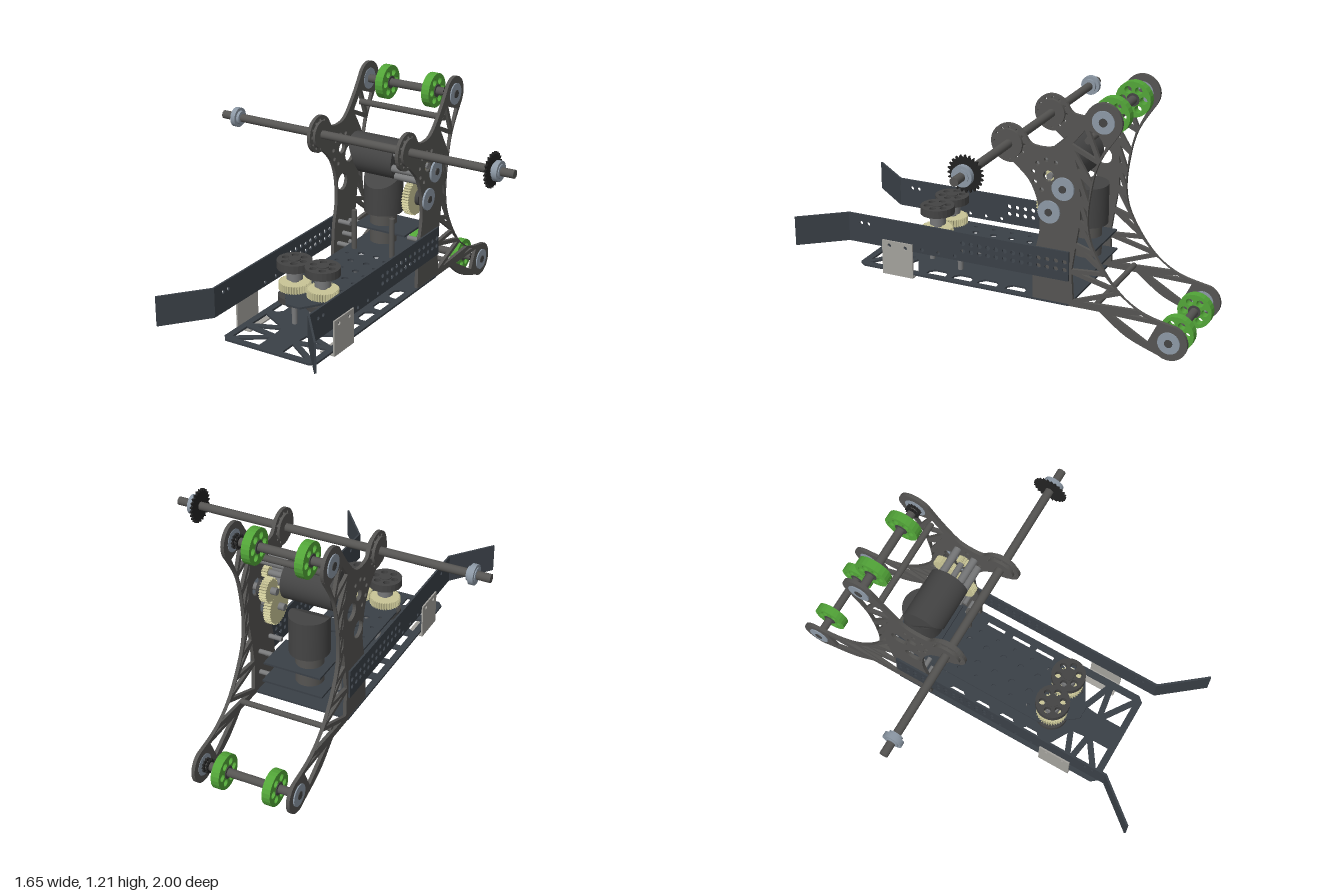
import * as THREE from 'three';

const mat = (color) => new THREE.MeshStandardMaterial({ color });
const M = {
  plate: mat(0x555452), sheet: mat(0x3a4047), dark: mat(0x444444), black: mat(0x222222),
  green: mat(0x52a538), steel: mat(0x8c98a5), cream: mat(0xc9c596), bracket: mat(0xa3a19c), post: mat(0x777879),
};

export function createModel() {
  const root = new THREE.Group();
  const add = (name, geo, m, x = 0, y = 0, z = 0) => {
    const mesh = new THREE.Mesh(geo, m);
    mesh.name = name;
    mesh.position.set(x, y, z);
    root.add(mesh);
    return mesh;
  };
  // Rods and discs along x or y, centred on the given point
  const rodX = (name, r, len, m, x, y, z) =>
    add(name, new THREE.CylinderGeometry(r, r, len, 28).rotateZ(Math.PI / 2), m, x, y, z);
  const rodY = (name, r, len, m, x, y, z) =>
    add(name, new THREE.CylinderGeometry(r, r, len, 28), m, x, y, z);

  const circle = (x, y, r) => new THREE.Path().absarc(x, y, r, 0, Math.PI * 2, true);
  const poly = (pts, C = THREE.Path) => new C(pts.map(([x, y]) => new THREE.Vector2(x, y)));
  const extrude = (shape, depth) =>
    new THREE.ExtrudeGeometry(shape, { depth, bevelEnabled: false, curveSegments: 12 });
  // Upright sheet: shape is drawn in (-z, y), thickness runs along x
  const upright = (shape, t) => extrude(shape, t).translate(0, 0, -t / 2).rotateY(Math.PI / 2);
  // Flat sheet: shape is drawn in (x, z), thickness runs along y
  const flat = (shape, t) => extrude(shape, t).translate(0, 0, -t / 2).rotateX(Math.PI / 2);

  // Triangle shrunk about its incentre so struts of half width w remain
  const inset = (p, w) => {
    const d = (a, b) => Math.hypot(a[0] - b[0], a[1] - b[1]);
    const l = [d(p[1], p[2]), d(p[0], p[2]), d(p[0], p[1])];
    const sum = l[0] + l[1] + l[2];
    const c = [0, 1].map((k) => (l[0] * p[0][k] + l[1] * p[1][k] + l[2] * p[2][k]) / sum);
    const area = Math.abs((p[1][0] - p[0][0]) * (p[2][1] - p[0][1]) - (p[2][0] - p[0][0]) * (p[1][1] - p[0][1])) / 2;
    const k = 1 - w / (2 * area / sum);
    return k > 0.1 ? poly(p.map((q) => [c[0] + (q[0] - c[0]) * k, c[1] + (q[1] - c[1]) * k])) : null;
  };
  // Zigzag of triangular windows between two edges
  const truss = (shape, a, b, w) => {
    for (let i = 0; i + 1 < a.length; i++) {
      for (const tri of [[a[i], b[i], a[i + 1]], [b[i], b[i + 1], a[i + 1]]]) {
        const hole = inset(tri, w);
        if (hole) shape.holes.push(hole);
      }
    }
  };
  const ring = (shape, x, y, R, r, n, from = 0, to = Math.PI * 2) => {
    for (let i = 0; i < n; i++) {
      const t = from + ((to - from) * i) / n;
      shape.holes.push(circle(x + R * Math.cos(t), y + R * Math.sin(t), r));
    }
  };
  const toothed = (r, n, depth, bore) => {
    const pts = [];
    for (let i = 0; i < n * 4; i++) {
      const q = i % 4 < 2 ? r : r - depth;
      const t = ((i + (i % 2 ? -0.15 : 0.15)) / (n * 4)) * Math.PI * 2;
      pts.push([q * Math.cos(t), q * Math.sin(t)]);
    }
    const s = poly(pts, THREE.Shape);
    s.holes.push(circle(0, 0, bore));
    return s;
  };
  const wheelShape = (r, holeR) => {
    const s = new THREE.Shape().absarc(0, 0, r, 0, Math.PI * 2, false);
    ring(s, 0, 0, r * 0.6, holeR, 6);
    return s;
  };
  const v2 = (pts) => pts.map(([x, y]) => new THREE.Vector2(x, y));

  // Three-armed side plates with truss arms
  const side = new THREE.Shape();
  side.moveTo(0.11, 0.862);
  side.splineThru(v2([[0.19, 0.786], [0.235, 0.68], [0.245, 0.545], [0.22, 0.42], [0.21, 0.305]]));
  side.lineTo(0.21, 0.18);
  side.lineTo(0.557, 0.18);
  side.splineThru(v2([[0.69, 0.08], [0.85, 0.017]]));
  side.absarc(0.905, 0.09, 0.09, -2.2, 1.18, false);
  side.splineThru(v2([[0.77, 0.214], [0.64, 0.305], [0.53, 0.465], [0.49, 0.6], [0.5, 0.76], [0.54, 0.92], [0.634, 1.072]]));
  side.absarc(0.557, 1.12, 0.09, -0.54, 2.45, false);
  side.splineThru(v2([[0.41, 1.065], [0.316, 0.97], [0.21, 0.963], [0.172, 1.002]]));
  side.absarc(0.09, 0.955, 0.095, 0.52, 4.92, false);
  truss(side,
    [[0.6, 1.04], [0.54, 0.92], [0.508, 0.8], [0.495, 0.68], [0.495, 0.58], [0.53, 0.465], [0.585, 0.375], [0.66, 0.295], [0.77, 0.215], [0.86, 0.18]],
    [[0.47, 1.09], [0.39, 0.99], [0.425, 0.87], [0.44, 0.74], [0.44, 0.62], [0.42, 0.5], [0.4, 0.36], [0.41, 0.2], [0.58, 0.185], [0.8, 0.055]], 0.01);
  side.holes.push(circle(0.365, 0.77, 0.045), circle(0.295, 0.636, 0.045), circle(0.29, 0.82, 0.028));
  ring(side, 0.29, 0.82, 0.08, 0.011, 6, 1.1, 4.9);
  ring(side, 0.09, 0.955, 0.075, 0.007, 12);

  // Long side rails with two rows of holes
  const rail = poly([[-0.79, 0.31], [0.4, 0.31], [0.4, 0.46], [-0.79, 0.46]], THREE.Shape);
  for (let i = 0; i < 13; i++) for (const y of [0.365, 0.405]) rail.holes.push(circle(-0.155 + i * 0.0445, y, 0.012));
  for (const [u, y] of [[-0.72, 0.415], [-0.68, 0.415], [-0.38, 0.33], [-0.29, 0.33], [-0.2, 0.33]]) rail.holes.push(circle(u, y, 0.01));
  const bracket = poly([[-0.6, 0.175], [-0.43, 0.175], [-0.43, 0.35], [-0.6, 0.35]], THREE.Shape);
  for (const u of [-0.56, -0.47]) bracket.holes.push(circle(u, 0.325, 0.01));

  for (const s of [-1, 1]) {
    add('sidePlate', upright(side, 0.018), M.plate, s * 0.249);
    add('sideRail', upright(rail, 0.01), M.sheet, s * 0.264);
    const flare = add('railFlare', new THREE.BoxGeometry(0.01, 0.15, 0.275), M.sheet, s * 0.348, 0.385, 0.895);
    flare.rotation.y = s * Math.atan2(0.17, 0.21);
    add('railBracket', upright(bracket, 0.008), M.bracket, s * 0.274);
    add('bracketFoot', new THREE.BoxGeometry(0.08, 0.008, 0.17), M.bracket, s * 0.238, 0.173, 0.515);
    // Hubs and bearings on the plates
    rodX('axleHub', 0.07, 0.045, M.plate, s * 0.249, 0.955, -0.09);
    for (const [y, z] of [[1.12, -0.557], [0.09, -0.905]]) {
      rodX('rollerBearing', 0.055, 0.026, M.steel, s * 0.251, y, z);
      rodX('bearingBolt', 0.02, 0.034, M.dark, s * 0.251, y, z);
      add('rollerWheel', upright(wheelShape(0.088, 0.018), 0.043), M.green, s * 0.134, y, z);
      rodX('wheelHub', 0.032, 0.05, M.dark, s * 0.134, y, z);
    }
    // Short spacers behind the rails
    [[0.43, -0.26], [0.4, -0.36], [0.35, -0.3], [0.31, -0.25], [0.28, -0.36]].forEach(([y, z]) =>
      rodX('spacer', 0.012, 0.08, M.post, s * 0.21, y, z));
    rodX('axleCollar', 0.05, 0.026, M.steel, s * 0.74, 0.955, -0.09);
    rodX('collarSleeve', 0.035, 0.045, M.steel, s * 0.735, 0.955, -0.09);
  }

  // Main axle with its sprocket, roller shafts and cross bars
  rodX('mainAxle', 0.021, 1.65, M.plate, 0, 0.955, -0.09);
  add('axleSprocket', upright(toothed(0.088, 24, 0.014, 0.02), 0.01), M.black, 0.71, 0.955, -0.09);
  for (const [y, z] of [[1.12, -0.557], [0.09, -0.905]]) {
    rodX('rollerShaft', 0.021, 0.5, M.plate, 0, y, z);
    for (const x of [0.212, 0.23]) add('rollerSprocket', upright(toothed(0.037, 12, 0.009, 0.015), 0.01), M.black, x, y, z);
  }
  rodX('crossBar', 0.016, 0.49, M.plate, 0, 1.016, -0.477);
  rodX('crossBar', 0.014, 0.49, M.plate, 0, 0.215, -0.54);

  // Base pan with edge slots and triangular windows at the front
  const pan = poly([[-0.26, -0.4], [0.26, -0.4], [0.26, 0.72], [0.235, 0.75], [-0.235, 0.75], [-0.26, 0.72]], THREE.Shape);
  for (const s of [-1, 1]) {
    for (const z of [-0.1, 0.05, 0.19, 0.33]) {
      pan.holes.push(poly([[s * 0.17, z - 0.03], [s * 0.195, z - 0.052], [s * 0.225, z - 0.052], [s * 0.225, z + 0.052], [s * 0.195, z + 0.052], [s * 0.17, z + 0.03]]));
    }
    truss(pan, [[0.24, 0.4], [0.24, 0.57], [0.24, 0.73]].map(([x, z]) => [s * x, z]),
      [[0.06, 0.5], [0.05, 0.6], [0.05, 0.73]].map(([x, z]) => [s * x, z]), 0.015);
  }
  add('basePan', flat(pan, 0.01), M.sheet, 0, 0.184, 0);

  // Raised centre deck with round holes
  const deck = poly([[-0.16, -0.48], [0.16, -0.48], [0.16, 0.36], [0.04, 0.53], [-0.04, 0.53], [-0.16, 0.36]], THREE.Shape);
  for (let i = 0; i < 5; i++) {
    const z = -0.16 + i * 0.1;
    for (const s of [-1, 1]) deck.holes.push(circle(s * 0.045, z, 0.017), circle(s * 0.11, z + 0.03, 0.01));
  }
  add('centreDeck', flat(deck, 0.01), M.sheet, 0, 0.326, 0);
  add('motorShelf', new THREE.BoxGeometry(0.3, 0.01, 0.22), M.sheet, 0, 0.43, -0.37);
  for (const s of [-1, 1]) {
    for (const z of [-0.2, 0.25, 0.44]) rodY('deckPost', 0.014, 0.14, M.post, s * (z > 0.4 ? 0.05 : 0.11), 0.255, z);
    rodY('shelfPost', 0.014, 0.21, M.plate, s * 0.11, 0.435, -0.2);
  }

  // Pair of vertical feeder wheels with meshing gears
  for (const s of [-1, 1]) {
    const x = s * 0.08, z = 0.39;
    rodY('feederShaft', 0.02, 0.24, M.post, x, 0.38, z);
    add('feederWheel', flat(wheelShape(0.086, 0.017), 0.04), M.dark, x, 0.478, z);
    rodY('feederCap', 0.03, 0.05, M.dark, x, 0.478, z);
    rodY('feederCollar', 0.04, 0.05, M.post, x, 0.425, z);
    add('feederGear', flat(toothed(0.079, 36, 0.008, 0.02), 0.038), M.cream, x, 0.366, z);
    rodY('lowerDisc', 0.083, 0.03, M.dark, x, 0.303, z);
    rodY('lowerBearing', 0.045, 0.03, M.dark, x, 0.274, z);
  }

  // Motor can whose far end is cut on a slant
  const motorCan = (len) => {
    const g = new THREE.CylinderGeometry(0.1, 0.1, len, 40);
    const p = g.attributes.position;
    for (let i = 0; i < p.count; i++) if (p.getY(i) > 0) p.setY(i, p.getY(i) - 0.6 * Math.max(0, p.getZ(i) - 0.01));
    g.computeVertexNormals();
    return g;
  };
  add('uprightMotor', motorCan(0.2), M.dark, -0.04, 0.6, -0.37);
  rodY('uprightMotorBase', 0.07, 0.17, M.plate, -0.04, 0.42, -0.37);
  rodY('uprightMotorBearing', 0.05, 0.05, M.steel, -0.04, 0.3, -0.37);
  add('crossMotor', motorCan(0.265).rotateX(Math.PI / 4).rotateX(-Math.PI / 4).rotateZ(Math.PI / 2).rotateX(0.7), M.dark, -0.032, 0.822, -0.297);

  // Reduction gears and spacers between the cross motor and the plate
  for (const [y, z] of [[0.9, -0.33], [0.87, -0.24], [0.8, -0.22], [0.75, -0.25]]) rodX('gearboxSpacer', 0.019, 0.14, M.post, 0.17, y, z);
  rodX('motorShaft', 0.015, 0.17, M.post, 0.175, 0.82, -0.295);
  add('pinion', upright(toothed(0.03, 12, 0.007, 0.01), 0.03), M.cream, 0.225, 0.82, -0.295);
  for (const [r, x, y, z] of [[0.062, 0.18, 0.77, -0.365], [0.095, 0.18, 0.645, -0.295]]) {
    add('reductionGear', upright(toothed(r, Math.round(r * 420), 0.008, 0.018), 0.038), M.cream, x, y, z);
    rodX('gearShaft', 0.018, 0.14, M.post, 0.2, y, z);
    rodX('gearHub', 0.04, 0.02, M.dark, 0.215, y, z);
    rodX('gearBearing', 0.056, 0.012, M.steel, 0.262, y, z);
    rodX('gearBolt', 0.018, 0.02, M.dark, 0.264, y, z);
  }
  return root;
}
